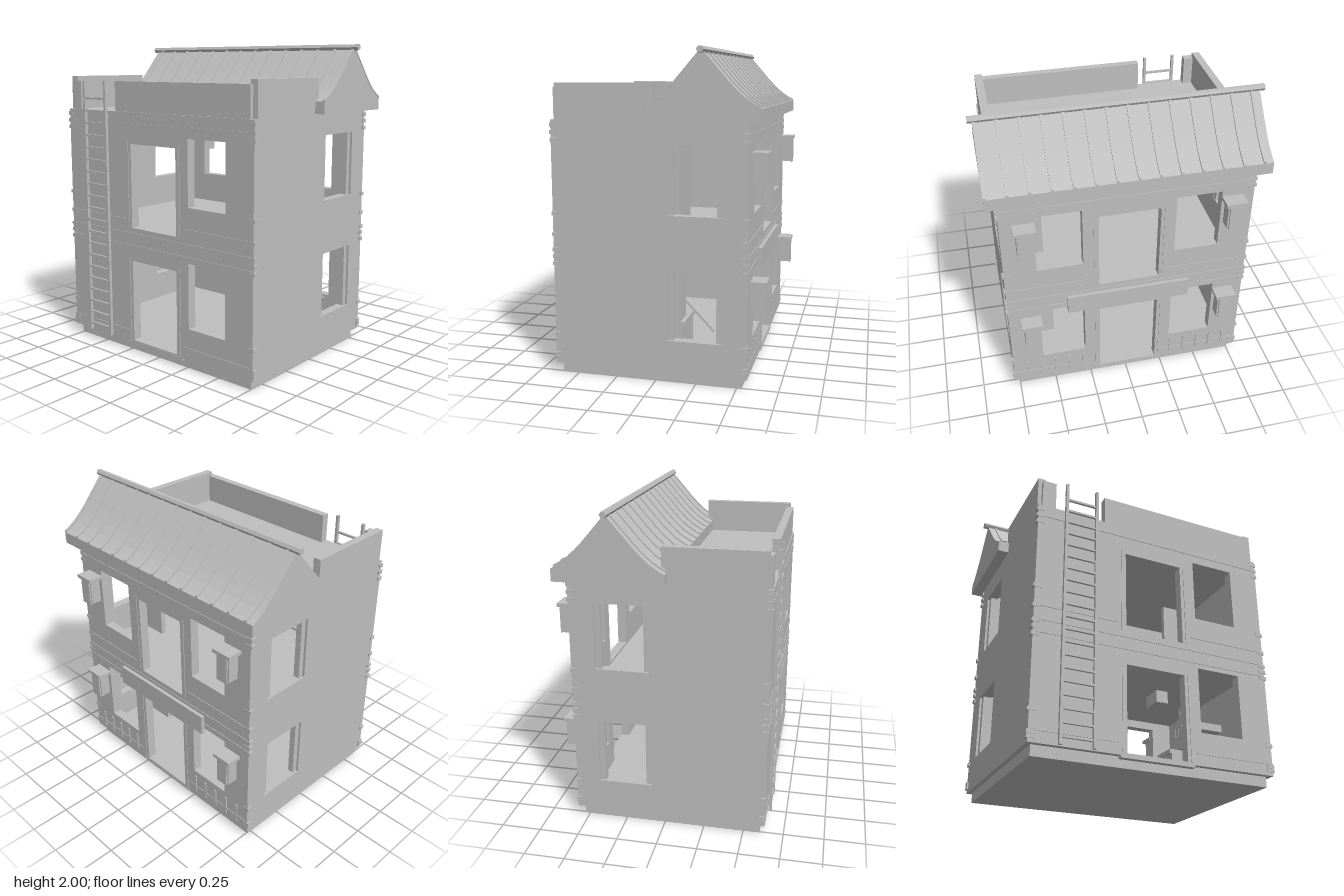
import * as THREE from 'three';

const stone = new THREE.MeshStandardMaterial({ color: 0xbfbfbf, flatShading: true });
stone.name = 'plain grey';

export function createModel() {
  const model = new THREE.Group();
  model.name = 'townHouse';

  const add = (name, geo, parent = model) => {
    const m = new THREE.Mesh(geo, stone);
    m.name = name;
    parent.add(m);
    return m;
  };
  // Box given by its extents along each axis
  const box = (name, x0, x1, y0, y1, z0, z1, parent) => {
    const m = add(name, new THREE.BoxGeometry(x1 - x0, y1 - y0, z1 - z0), parent);
    m.position.set((x0 + x1) / 2, (y0 + y1) / 2, (z0 + z1) / 2);
    return m;
  };
  // Wall panel with rectangular openings [u0, u1, v0, v1]
  const panel = (u0, u1, v0, v1, holes, depth) => {
    const rect = (P, a, b, c, d) => {
      const p = new P();
      p.moveTo(a, c); p.lineTo(b, c); p.lineTo(b, d); p.lineTo(a, d); p.closePath();
      return p;
    };
    const s = rect(THREE.Shape, u0, u1, v0, v1);
    holes.forEach(h => s.holes.push(rect(THREE.Path, ...h)));
    return new THREE.ExtrudeGeometry(s, { depth, bevelEnabled: false });
  };

  const W = 0.785, T = 0.06, FRONT = 0.635, BACK = -0.565;
  const sills = [[0.27, 0.685], [1.03, 1.443]];
  const doors = [[0.08, 0.62], [0.838, 1.38]];

  // Plinth and floors
  box('plinth', -0.757, 0.752, 0, 0.07, -0.53, 0.603);
  box('groundFloor', -0.73, 0.73, 0.06, 0.08, -0.51, 0.58);
  box('upperFloor', -0.73, 0.73, 0.74, 0.82, -0.51, 0.58);
  box('terrace', -0.73, 0.73, 1.53, 1.58, -0.51, 0.58);

  // Front and back walls
  const centre = doors.map(([a, b]) => [-0.198, 0.19, a, b]);
  const rightWin = sills.map(([a, b]) => [0.29, 0.58, a, b]);
  const leftWin = sills.map(([a, b]) => [-0.58, -0.295, a, b]);
  add('frontWall', panel(-W, W, 0.065, 1.58, [...centre, ...rightWin], T)).position.z = FRONT - T;
  add('backWall', panel(-W, W, 0.065, 1.58, [...centre, ...rightWin, ...leftWin], T)).position.z = BACK;
  box('frontDoorstep', -0.24, 0.235, 0.05, 0.072, 0.59, 0.637);
  box('backDoorstep', -0.24, 0.235, 0.05, 0.072, -0.567, -0.52);

  // Side walls with window jambs
  for (const s of [1, -1]) {
    const wall = add('sideWall', panel(BACK + T, FRONT - T, 0.065, 1.58,
      sills.map(([a, b]) => [-0.412, -0.08, a, b]), T));
    wall.rotation.y = -Math.PI / 2;
    wall.position.x = s > 0 ? W : -W + T;
    for (const [a, b] of sills)
      for (const z of [-0.412, -0.115])
        box('windowJamb', s * 0.75 - 0.02, s * 0.75 + 0.02, a, b, z, z + 0.035);
  }

  // Corner beam ends and raised wall bands
  const tabs = [0.1, 0.125, 0.255, 0.705, 0.75, 0.79, 0.885, 1.015, 1.46, 1.505, 1.55];
  for (const y of tabs)
    for (const s of [1, -1])
      for (const z of [FRONT - 0.0145, BACK + 0.0145])
        box('beamEnd', s * 0.77 - 0.025, s * 0.77 + 0.025, y - 0.012, y + 0.012, z - 0.0175, z + 0.0175);
  for (const z of [FRONT, BACK]) {
    for (const y of [0.72, 0.8, 1.505])
      box('wallBand', -0.77, 0.77, y - 0.006, y + 0.006, z - 0.004, z + 0.004);
    for (const y of [0.14, 0.89])
      for (const s of [1, -1])
        box('wallBand', s * 0.505 - 0.25, s * 0.505 + 0.25, y - 0.006, y + 0.006, z - 0.004, z + 0.004);
    for (const [a, b] of doors)
      for (const x of [-0.225, 0.217])
        box('doorTrim', x - 0.005, x + 0.005, a, b + 0.02, z - 0.004, z + 0.004);
  }

  // Terrace parapet, open where the ladder arrives
  for (const s of [1, -1])
    box('sideParapet', s * 0.76 - 0.025, s * 0.76 + 0.025, 1.58, 1.797, 0, 0.605);
  box('frontParapet', -0.34, 0.752, 1.58, 1.77, 0.578, 0.628);
  box('frontParapetEnd', -0.76, -0.672, 1.58, 1.77, 0.578, 0.628);

  // Ladder
  const ladder = new THREE.Group();
  ladder.name = 'ladder';
  model.add(ladder);
  for (const x of [-0.607, -0.406])
    box('ladderRail', x - 0.009, x + 0.009, 0.07, 1.77, 0.642, 0.662, ladder);
  for (let i = 0; i < 20; i++) {
    const y = 0.117 + i * 0.081;
    box('ladderRung', -0.6, -0.41, y - 0.007, y + 0.007, 0.645, 0.659, ladder);
  }

  // Curved gable roof: a profile across z, extruded along x
  const RZ = -0.298;
  const half = [[0.333, 1.655], [0.3, 1.672], [0.25, 1.705], [0.2, 1.75], [0.15, 1.802],
    [0.1, 1.86], [0.05, 1.918], [0, 1.975]];
  const slope = [...half, ...half.slice(0, -1).reverse().map(([d, y]) => [-d, y])]
    .map(([d, y]) => [RZ + d, y]);
  const along = (pts, x0, x1, name) => {
    const g = new THREE.ExtrudeGeometry(new THREE.Shape(pts.map(p => new THREE.Vector2(...p))),
      { depth: x1 - x0, bevelEnabled: false });
    const m = add(name, g);
    m.rotation.y = -Math.PI / 2;
    m.position.x = x1;
  };
  along([[RZ + 0.333, 1.58], ...slope, [RZ - 0.333, 1.58]], -0.855, 0.85, 'roof');
  const ribTop = slope.map(([z, y]) => [z, y + 0.012]);
  for (let i = 0; i < 14; i++) {
    const x = -0.8 + i * 0.1265;
    along([...slope, ...ribTop.reverse()], x - 0.008, x + 0.008, 'roofRib');
    ribTop.reverse();
  }
  const ridge = add('ridgePole', new THREE.CylinderGeometry(0.021, 0.021, 1.765, 6));
  ridge.rotation.z = Math.PI / 2;
  ridge.position.set(-0.002, 1.979, RZ);

  // Back lanterns
  for (const top of [0.645, 1.405])
    for (const x of [-0.647, 0.643]) {
      const lantern = new THREE.Group();
      lantern.name = 'lantern';
      model.add(lantern);
      box('lanternCap', x - 0.067, x + 0.067, top - 0.022, top, -0.662, -0.56, lantern);
      box('lanternBody', x - 0.05, x + 0.05, top - 0.187, top - 0.02, -0.645, -0.575, lantern);
      box('lanternFace', x - 0.04, x + 0.04, top - 0.195, top - 0.02, -0.655, -0.645, lantern);
      box('lanternBracket', x - 0.02, x + 0.02, top - 0.15, top - 0.03, -0.58, -0.56, lantern);
    }

  // Blank board over the back door, low fence pickets
  box('backBoard', -0.4, 0.4, 0.65, 0.78, -0.588, -0.56);
  for (const s of [1, -1])
    for (let i = 0; i < 5; i++) {
      const x = s * (0.31 + i * 0.095);
      box('picket', x - 0.007, x + 0.007, 0.1, 0.23, -0.573, -0.56);
    }

  // Interior stair, handrail and partitions
  box('lowerPartition', 0.6, 0.73, 0.08, 0.74, -0.15, -0.115);
  box('upperPartition', 0.487, 0.73, 0.82, 1.53, -0.15, -0.115);
  box('stairBase', 0.45, 0.73, 0.08, 0.345, -0.16, 0);
  box('stairTread', 0.435, 0.73, 0.345, 0.375, -0.175, 0);
  box('stairStep', 0.503, 0.73, 0.375, 0.47, -0.1, 0.1);
  box('stairStep', 0.563, 0.73, 0.47, 0.52, -0.1, 0.2);
  box('ceilingStep', 0.29, 0.375, 0.655, 0.74, -0.05, 0.1);
  const rail = add('handrail', new THREE.BoxGeometry(0.014, 0.014, 0.265));
  rail.position.set(0.64, 0.395, -0.247);
  rail.rotation.x = -0.8;

  return model;
}
